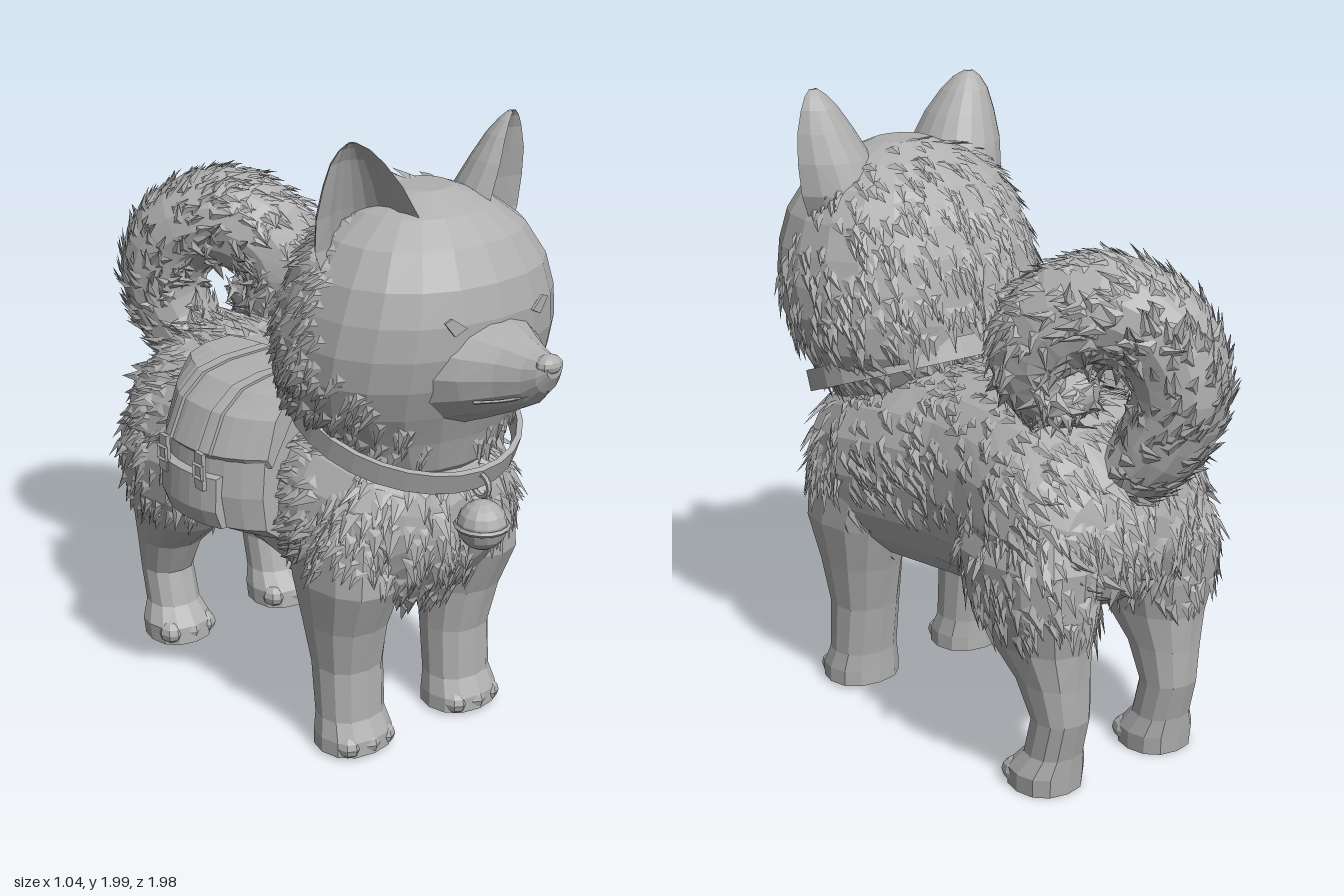
import * as THREE from 'three';

const V = (x, y, z) => new THREE.Vector3(x, y, z);
const MID = 0.045; // the animal's own centre line, the bag shifts it off x = 0

let seed = 7;
const rand = () => (seed = (seed * 16807) % 2147483647) / 2147483647;

// Ring of points round c, spanned by u and v; p above 2 makes it squarer
function ring(c, u, v, n = 20, p = 2) {
  const sp = (t) => Math.sign(t) * Math.abs(t) ** (2 / p);
  return Array.from({ length: n }, (_, i) => {
    const a = (i / n) * Math.PI * 2;
    return c.clone().addScaledVector(u, sp(Math.cos(a))).addScaledVector(v, sp(Math.sin(a)));
  });
}

// Closed skin through a list of rings, facing outward
function loft(rings) {
  const n = rings[0].length, pts = rings.flat(), idx = [];
  for (let r = 0; r < rings.length - 1; r++)
    for (let i = 0; i < n; i++) {
      const a = r * n + i, b = r * n + ((i + 1) % n);
      idx.push(a, b, a + n, b, b + n, a + n);
    }
  [0, rings.length - 1].forEach((r, end) => {
    const mid = rings[r].reduce((s, q) => s.add(q), V(0, 0, 0)).divideScalar(n);
    pts.push(mid);
    for (let i = 0; i < n; i++) {
      const a = r * n + i, b = r * n + ((i + 1) % n);
      if (end) idx.push(pts.length - 1, a, b); else idx.push(pts.length - 1, b, a);
    }
  });
  let vol = 0;
  for (let i = 0; i < idx.length; i += 3)
    vol += pts[idx[i]].dot(pts[idx[i + 1]].clone().cross(pts[idx[i + 2]]));
  if (vol < 0) idx.reverse();
  const g = new THREE.BufferGeometry().setFromPoints(pts);
  g.setIndex(idx);
  g.computeVertexNormals();
  return g;
}

// Flat pointed tufts scattered over a surface, combed along flow(p)
function tufts(geo, count, len, flow, keep = () => true) {
  const pos = geo.toNonIndexed().attributes.position, tris = [], out = [];
  let total = 0;
  for (let i = 0; i < pos.count; i += 3) {
    const t = new THREE.Triangle(...[0, 1, 2].map((k) => V(0, 0, 0).fromBufferAttribute(pos, i + k)));
    total += t.getArea();
    tris.push({ t, sum: total });
  }
  for (let k = 0; k < count; k++) {
    const pick = rand() * total, { t } = tris.find((q) => q.sum >= pick) ?? tris[0];
    let a = rand(), b = rand();
    if (a + b > 1) { a = 1 - a; b = 1 - b; }
    const p = t.a.clone().multiplyScalar(1 - a - b).addScaledVector(t.b, a).addScaledVector(t.c, b);
    const n = t.getNormal(V(0, 0, 0));
    if (!keep(p, n)) continue;
    const d = flow(p).add(V(rand() - 0.5, rand() - 0.5, rand() - 0.5).multiplyScalar(0.4));
    d.addScaledVector(n, -d.dot(n)).normalize();
    const s = d.clone().cross(n).multiplyScalar(len * (0.22 + 0.14 * rand()));
    const base = p.clone().addScaledVector(n, -0.006);
    const ridge = p.clone().addScaledVector(n, 0.01).addScaledVector(d, len * 0.3);
    const tip = p.clone().addScaledVector(d, len * (0.75 + 0.4 * rand())).addScaledVector(n, 0.01 + 0.012 * rand());
    const l = base.clone().sub(s), r = base.clone().add(s);
    out.push(l, ridge, r, l, tip, ridge, ridge, tip, r);
    const e1 = ridge.clone().sub(l), e2 = r.clone().sub(l);
    if (e1.cross(e2).dot(n) < 0) // keep every face turned outward
      for (let i = out.length - 9; i < out.length; i += 3) [out[i + 1], out[i + 2]] = [out[i + 2], out[i + 1]];
  }
  const g = new THREE.BufferGeometry().setFromPoints(out);
  g.computeVertexNormals();
  return g;
}

export function createModel() {
  const model = new THREE.Group();
  const grey = new THREE.MeshStandardMaterial({ color: 0xb0b0b0, flatShading: true, side: THREE.DoubleSide });
  grey.name = 'grey';
  const add = (name, geo, x = 0, y = 0, z = 0, parent = model) => {
    const m = new THREE.Mesh(geo, grey);
    m.name = name;
    m.position.set(x, y, z);
    parent.add(m);
    return m;
  };

  // Torso: z, top, bottom, half width
  const torso = loft([
    [0.65, 0.9, 0.74, 0.1], [0.61, 0.99, 0.65, 0.22], [0.5, 1.07, 0.5, 0.335], [0.3, 1.14, 0.45, 0.385],
    [0.1, 1.17, 0.46, 0.365], [-0.1, 1.18, 0.47, 0.335], [-0.3, 1.18, 0.49, 0.355], [-0.5, 1.16, 0.52, 0.395],
    [-0.64, 1.1, 0.56, 0.37], [-0.73, 1.0, 0.62, 0.28], [-0.775, 0.87, 0.72, 0.11],
  ].map(([z, t, b, w]) => ring(V(MID, (t + b) / 2, z), V(w, 0, 0), V(0, (t - b) / 2, 0), 20, 2.2)));
  add('torso', torso);
  add('torsoFur', tufts(torso, 1500, 0.1, (p) => V(0, p.z > 0.4 ? -1 : -0.5, p.z > 0.4 ? -0.2 : -0.8),
    (p, n) => n.y > -0.75 && !(p.y < 0.75 && p.z > -0.32 && p.z < 0.25)));

  // Head and neck: y, front z, back z, half width
  const head = loft([
    [0.92, 0.56, 0.16, 0.22], [1.0, 0.63, 0.1, 0.27], [1.1, 0.66, 0.05, 0.335], [1.2, 0.7, 0.02, 0.405],
    [1.3, 0.74, 0.015, 0.435], [1.4, 0.765, 0.025, 0.435], [1.5, 0.77, 0.045, 0.415], [1.6, 0.75, 0.085, 0.38],
    [1.7, 0.69, 0.15, 0.315], [1.77, 0.61, 0.23, 0.22], [1.82, 0.5, 0.33, 0.09],
  ].map(([y, f, b, w]) => ring(V(MID, y, (f + b) / 2), V(w, 0, 0), V(0, 0, (f - b) / 2), 20, 2.2)));
  add('head', head);
  add('headFur', tufts(head, 1150, 0.09, (p) => V(0, -0.8, -0.6),
    (p) => p.y > 1.06 && p.z < 0.47 + 0.4 * (1.6 - p.y)));

  // Muzzle: z, top, bottom, half width
  add('muzzle', loft([
    [0.64, 1.53, 1.14, 0.25], [0.77, 1.49, 1.2, 0.17], [0.85, 1.47, 1.24, 0.11], [0.92, 1.45, 1.28, 0.07],
    [0.965, 1.44, 1.33, 0.05], [0.99, 1.43, 1.38, 0.03],
  ].map(([z, t, b, w]) => ring(V(MID, (t + b) / 2, z), V(w, 0, 0), V(0, (t - b) / 2, 0), 14))));
  add('nose', new THREE.SphereGeometry(1, 10, 8).scale(0.045, 0.03, 0.035), MID, 1.415, 0.965);
  add('mouth', new THREE.TubeGeometry(new THREE.CatmullRomCurve3(
    [V(-0.13, 1.28, 0.8), V(-0.075, 1.3, 0.885), V(0, 1.335, 0.965), V(0.075, 1.3, 0.885), V(0.13, 1.28, 0.8)]), 12, 0.005, 4), MID);

  // Eyes and ears, mirrored about the centre line
  for (const s of [-1, 1]) {
    const eye = new THREE.Shape([[-0.035, 0.02], [-0.01, 0.03], [0.04, -0.005], [0, -0.025]].map(([x, y]) => new THREE.Vector2(s * -x, y)));
    add('eye', new THREE.ExtrudeGeometry(eye, { depth: 0.008, bevelEnabled: false }), MID + s * 0.165, 1.5, 0.75).rotation.y = s * 0.2;

    // Ear: y, centre offset, half width, rim z, depth; a crescent section turned outward makes the hollow
    add('ear', loft([
      [1.56, 0.23, 0.14, 0.48, 0.2], [1.68, 0.255, 0.16, 0.485, 0.2], [1.78, 0.27, 0.148, 0.49, 0.165],
      [1.87, 0.288, 0.115, 0.49, 0.125], [1.94, 0.3, 0.078, 0.48, 0.08], [1.98, 0.306, 0.045, 0.475, 0.045],
      [2.0, 0.31, 0.014, 0.47, 0.02],
    ].map(([y, cx, r, z, d]) => Array.from({ length: 18 }, (_, i) => {
      const outer = i < 10, a = Math.PI * (outer ? i / 9 : (18 - i) / 9), k = outer ? 1 : 0.72;
      const q = V(r * k * Math.cos(a), 0, -d * k * Math.sin(a)).applyAxisAngle(V(0, 1, 0), 0.5);
      return V(MID + s * (cx + q.x), y, z + q.z);
    }))));
  }

  // Legs: y, z, side offset, half width, half depth
  const front = [
    [0.02, 0.385, 0.225, 0.125, 0.11], [0.07, 0.385, 0.225, 0.125, 0.11], [0.13, 0.37, 0.225, 0.112, 0.095],
    [0.3, 0.355, 0.225, 0.112, 0.105], [0.45, 0.355, 0.235, 0.125, 0.14], [0.6, 0.365, 0.24, 0.145, 0.195],
    [0.78, 0.34, 0.225, 0.155, 0.22], [0.95, 0.3, 0.19, 0.12, 0.18]];
  const rear = [
    [0.01, -0.585, 0.225, 0.11, 0.11], [0.07, -0.59, 0.225, 0.115, 0.11], [0.13, -0.62, 0.22, 0.09, 0.085],
    [0.25, -0.65, 0.22, 0.088, 0.085], [0.37, -0.62, 0.225, 0.105, 0.115], [0.48, -0.56, 0.23, 0.13, 0.18],
    [0.6, -0.53, 0.235, 0.16, 0.235], [0.75, -0.52, 0.235, 0.175, 0.255], [0.95, -0.5, 0.2, 0.14, 0.2]];
  for (const s of [-1, 1])
    [['frontLeg', front], ['rearLeg', rear]].forEach(([name, rows]) => {
      const leg = loft(rows.map(([y, z, x, w, d]) => ring(V(MID + s * x, y, z), V(w, 0, 0), V(0, 0, d), 12, 2.3)));
      add(name, leg);
      add(name + 'Fur', tufts(leg, 420, 0.09, () => V(0, -0.9, -0.4), (p) => p.y > (name === 'rearLeg' ? 0.53 : 0.68)));
      for (const t of [-1, 0, 1])
        add('toe', new THREE.SphereGeometry(1, 8, 6).scale(0.04, 0.04, 0.05),
          MID + s * 0.225 + t * 0.07, 0.05, rows[1][1] + 0.07 - Math.abs(t) * 0.012);
    });

  // Curled tail, lying in an upright plane turned diagonally across the back
  const along = V(0.6, 0, 0.8), across = V(0.8, 0, -0.6);
  const path = new THREE.CatmullRomCurve3([
    [-0.04, 0.96], [-0.15, 1.07], [-0.22, 1.24], [-0.165, 1.4], [0, 1.475], [0.15, 1.42], [0.2, 1.31], [0.13, 1.22], [0.03, 1.23],
  ].map(([q, y]) => V(0.08, y, -0.625).addScaledVector(along, q)));
  const widths = [0.1, 0.13, 0.145, 0.155, 0.165, 0.165, 0.15, 0.12, 0.04];
  const tail = loft(Array.from({ length: 25 }, (_, i) => {
    const t = i / 24, k = Math.min(Math.floor(t * 8), 7);
    const r = THREE.MathUtils.lerp(widths[k], widths[k + 1], t * 8 - k);
    const up = path.getTangent(t).cross(across).normalize();
    return ring(path.getPoint(t), across.clone().multiplyScalar(r * 1.1), up.multiplyScalar(r), 14);
  }));
  add('tail', tail);
  add('tailFur', tufts(tail, 650, 0.08, (p) => {
    const q = p.clone().sub(V(0.08, 1.3, -0.625));
    return along.clone().multiplyScalar(q.y).addScaledVector(V(0, 1, 0), -q.dot(along));
  }));

  // Tilted collar with a ring and a round bell
  const collar = new THREE.Group();
  collar.name = 'collar';
  collar.position.set(MID, 1.1, 0.35);
  collar.rotation.x = 0.35;
  model.add(collar);
  const band = [[0.95, -0.035], [1, -0.035], [1, 0.035], [0.95, 0.035], [0.95, -0.035]].map(([x, y]) => new THREE.Vector2(x, y));
  add('collarBand', new THREE.LatheGeometry(band, 28).scale(0.365, 1, 0.375), 0, 0, 0, collar);
  add('bellRing', new THREE.TorusGeometry(0.035, 0.009, 6, 14), MID, 0.955, 0.705).rotation.y = Math.PI / 2;
  add('bell', new THREE.SphereGeometry(0.078, 12, 9), MID, 0.83, 0.715);
  add('bellBand', new THREE.TorusGeometry(0.078, 0.009, 5, 16), MID, 0.83, 0.715).rotation.x = Math.PI / 2;

  // Rounded saddle bag hung on one flank: an x, y outline swelling along z
  const bag = new THREE.Group();
  bag.name = 'saddleBag';
  model.add(bag);
  const swell = (z) => 1 - 0.4 * Math.abs((z + 0.045) / 0.25) ** 2.5;
  const pack = (outline, z0, z1, steps) => loft(Array.from({ length: steps + 1 }, (_, i) => {
    const z = THREE.MathUtils.lerp(z0, z1, i / steps);
    return outline.map(([x, y]) => V(-0.2 + (x + 0.2) * swell(z), y, z));
  }));
  const lid = [[-0.1, 1.19], [-0.27, 1.185], [-0.37, 1.165], [-0.45, 1.1], [-0.505, 0.98]];
  const sheet = (lift) => [...lid.map(([x, y]) => [x - lift, y + lift * 0.6]), ...lid.map(([x, y]) => [x + 0.03, y - 0.03]).reverse()];
  add('bagBody', pack([[-0.15, 1.15], [-0.28, 1.165], [-0.37, 1.14], [-0.445, 1.07], [-0.49, 0.97], [-0.505, 0.85],
    [-0.485, 0.74], [-0.4, 0.7], [-0.28, 0.74]], -0.29, 0.2, 10), 0, 0, 0, bag);
  add('bagFlap', pack(sheet(0), -0.3, 0.21, 10), 0, 0, 0, bag);
  add('bagPocket', pack([[-0.47, 0.92], [-0.525, 0.91], [-0.53, 0.8], [-0.505, 0.74], [-0.46, 0.74]], -0.19, 0.1, 6), 0, 0, 0, bag);
  for (const z of [-0.14, 0.05]) {
    add('bagStrap', pack(sheet(0.01), z - 0.02, z + 0.02, 2), 0, 0, 0, bag);
    add('bagStrapEnd', new THREE.BoxGeometry(0.015, 0.12, 0.04), -0.515, 0.93, z, bag);
    add('bagBuckle', new THREE.TorusGeometry(0.03, 0.007, 4, 4).rotateZ(Math.PI / 4), -0.523, 0.93, z, bag).rotation.y = Math.PI / 2;
  }
  return model;
}
